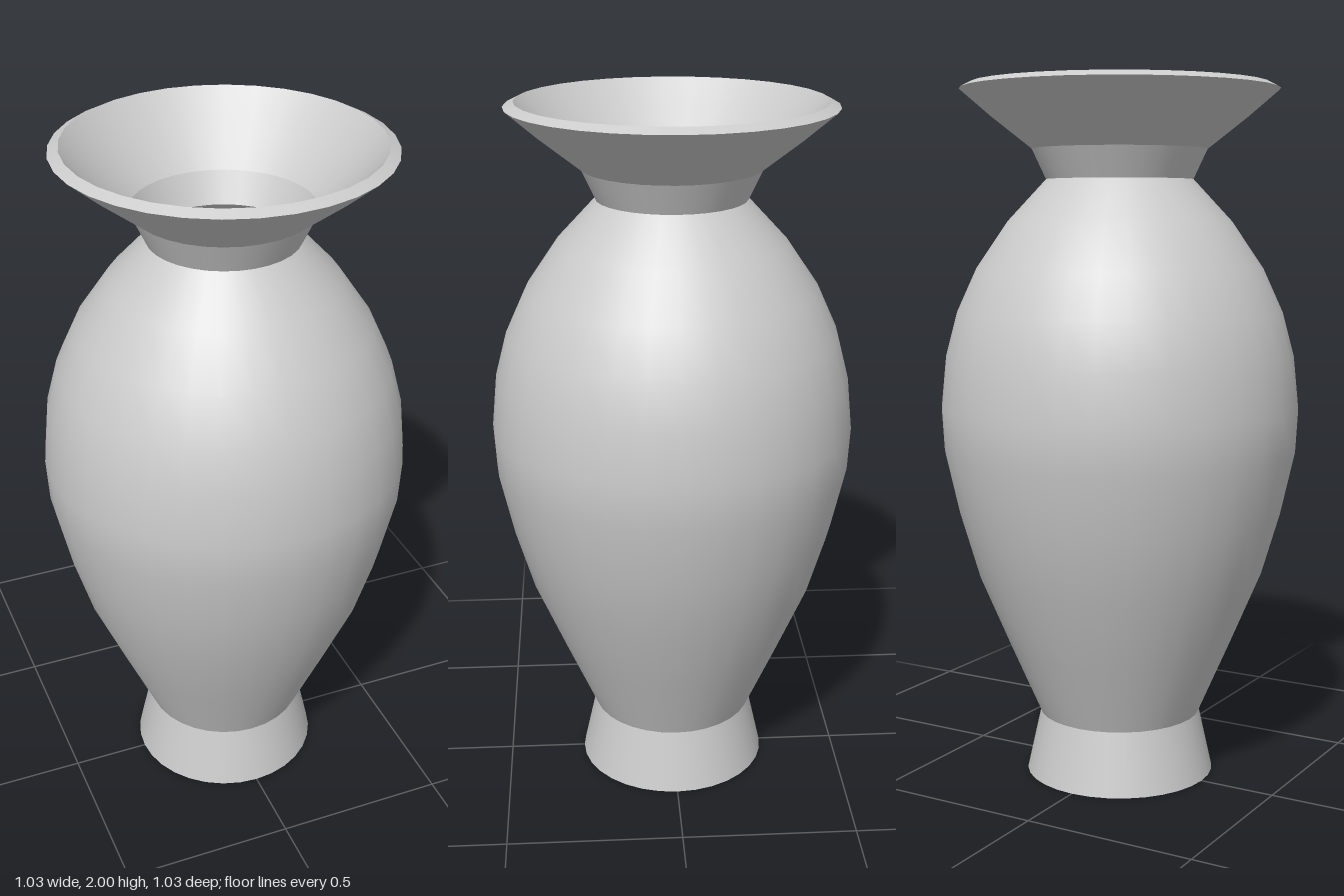
import * as THREE from 'three';

const SIDES = 32;
const material = new THREE.MeshStandardMaterial({ color: 0xcccccc, side: THREE.DoubleSide });

// One smooth band of the thin shell, turned from [radius, height] points.
// Separate bands keep a sharp crease where they meet.
function turned(name, profile) {
  const points = profile.map(([r, y]) => new THREE.Vector2(r, y));
  const mesh = new THREE.Mesh(new THREE.LatheGeometry(points, SIDES), material);
  mesh.name = name;
  return mesh;
}

export function createModel() {
  const vase = new THREE.Group();
  vase.name = 'vase';

  vase.add(
    // Closed underside, also seen as the floor through the open neck
    turned('bottom', [[0, 0], [0.275, 0]]),
    // Flared foot
    turned('foot', [[0.275, 0], [0.235, 0.18]]),
    // Swelling belly and shoulder
    turned('body', [
      [0.235, 0.18], [0.325, 0.387], [0.415, 0.6], [0.468, 0.78],
      [0.508, 0.96], [0.515, 1.085], [0.5, 1.235], [0.467, 1.36],
      [0.41, 1.485], [0.32, 1.617], [0.21, 1.735],
    ]),
    // Short neck
    turned('neck', [[0.21, 1.735], [0.25, 1.82]]),
    // Wide funnel mouth
    turned('mouth', [[0.25, 1.82], [0.365, 1.91], [0.453, 1.985]]),
    // Bevelled lip, and the inner face that thins down to the neck
    turned('lip', [[0.453, 1.985], [0.424, 2]]),
    turned('mouthLining', [[0.424, 2], [0.345, 1.912], [0.25, 1.82]]),
  );

  return vase;
}
